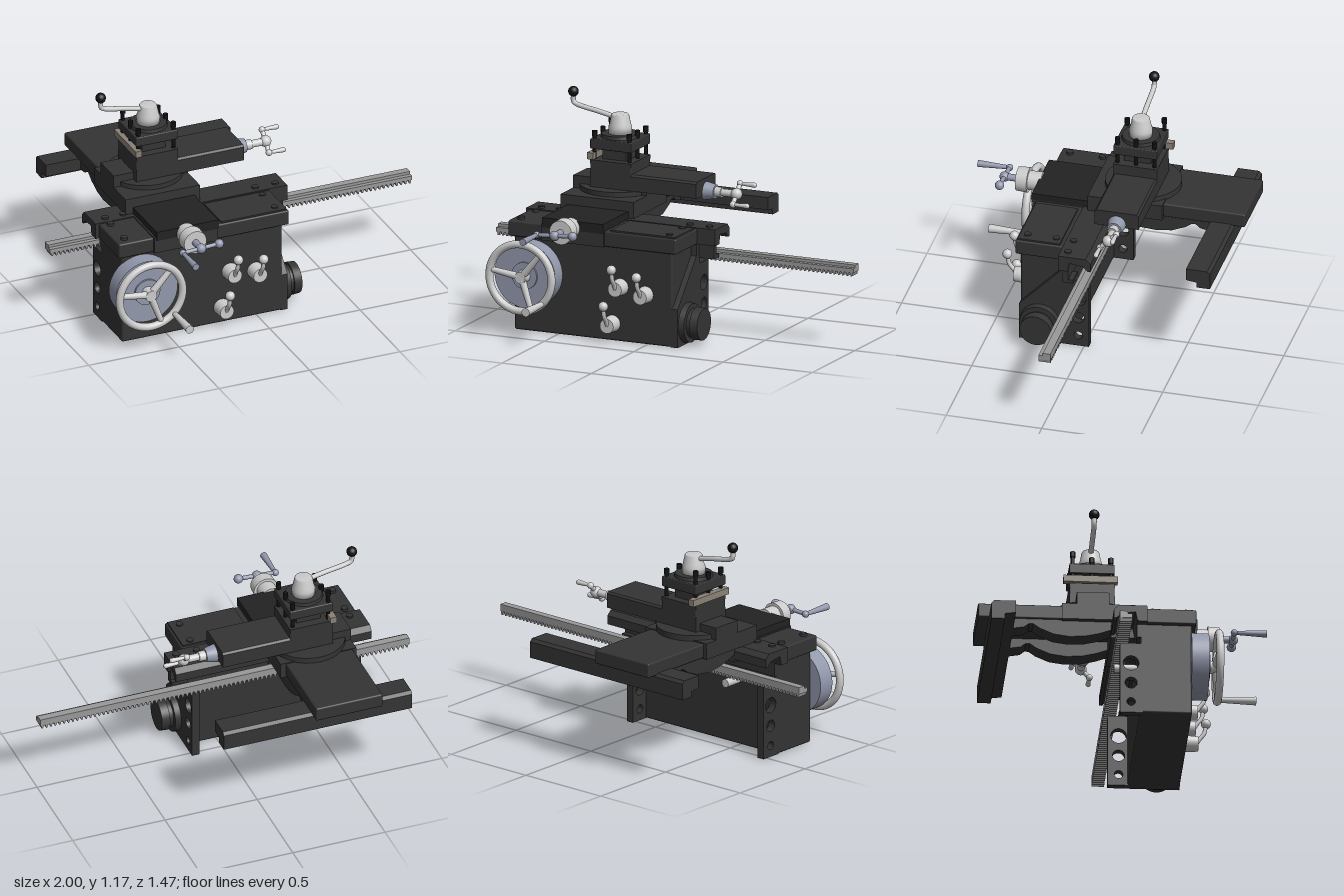
import * as THREE from 'three';
import { RoundedBoxGeometry } from 'three/addons/geometries/RoundedBoxGeometry.js';

const mat = (color) => new THREE.MeshStandardMaterial({ color });

export function createModel() {
  const model = new THREE.Group();
  const dark = mat(0x343434), black = mat(0x111111), cover = mat(0x222222);
  const light = mat(0xcccccc), blue = mat(0x9298ac), rackGrey = mat(0x999999), beige = mat(0x8a8278);

  const add = (name, geometry, material) => {
    const mesh = new THREE.Mesh(geometry, material);
    mesh.name = name;
    model.add(mesh);
    return mesh;
  };
  // Box given by its extents, with optional rounding
  const box = (name, x0, x1, y0, y1, z0, z1, material = dark, r = 0) => {
    const s = [x1 - x0, y1 - y0, z1 - z0];
    const m = add(name, r ? new RoundedBoxGeometry(...s, 2, r) : new THREE.BoxGeometry(...s), material);
    m.position.set((x0 + x1) / 2, (y0 + y1) / 2, (z0 + z1) / 2);
    return m;
  };
  // Round bar from point a to point b, radius ra to rb
  const rod = (name, a, b, ra, rb = ra, material = light, sides = 28) => {
    const p = new THREE.Vector3(...a), q = new THREE.Vector3(...b), d = q.clone().sub(p);
    const m = add(name, new THREE.CylinderGeometry(rb, ra, d.length(), sides), material);
    m.position.copy(p).add(q).multiplyScalar(0.5);
    m.quaternion.setFromUnitVectors(new THREE.Vector3(0, 1, 0), d.normalize());
    return m;
  };
  const ball = (name, p, r, material = light) =>
    add(name, new THREE.SphereGeometry(r, 20, 14), material).position.set(...p);
  const tube = (name, pts, r, material = light) =>
    add(name, new THREE.TubeGeometry(new THREE.CatmullRomCurve3(pts.map(p => new THREE.Vector3(...p))), 20, r, 12), material);
  // Side profile of [z, y] points extruded along x
  const profile = (name, pts, x0, x1, material = dark, holes = []) => {
    const shape = new THREE.Shape(pts.map(p => new THREE.Vector2(...p)));
    for (const [z, y, r] of holes) shape.holes.push(new THREE.Path().absarc(z, y, r, 0, Math.PI * 2, true));
    const m = add(name, new THREE.ExtrudeGeometry(shape, { depth: x1 - x0, bevelEnabled: false, curveSegments: 16 }), material);
    m.rotation.y = -Math.PI / 2;
    m.position.x = x1;
    return m;
  };

  // Apron: gearbox with drilled flanges at both ends
  box('apronBody', -0.745, 0.14, 0, 0.5, 0.075, 0.34, dark, 0.012);
  const holes = [[0.03, 0.275, 0.04], [0.03, 0.165, 0.031], [0.03, 0.06, 0.022]];
  profile('apronEndPlate', [[0.34, 0], [0.34, 0.2], [0.12, 0.43], [0.075, 0.43], [0.075, 0.385], [-0.025, 0.385], [-0.025, 0]],
    0.13, 0.17, dark, holes);
  profile('apronFlange', [[0.09, 0], [0.09, 0.385], [-0.025, 0.385], [-0.025, 0]], -0.745, -0.705, dark, holes);
  box('apronRearTop', -0.745, 0.17, 0.42, 0.5, 0.06, 0.12);
  rod('endKnobBase', [0.165, 0.11, 0.23], [0.2, 0.11, 0.23], 0.105, 0.1, dark, 40);
  rod('endKnobNeck', [0.2, 0.11, 0.23], [0.225, 0.11, 0.23], 0.075, 0.075, dark, 40);
  rod('endKnob', [0.222, 0.11, 0.23], [0.265, 0.11, 0.23], 0.085, 0.082, dark, 40);
  rod('pinionShaft', [-0.5, 0.355, 0.08], [-0.5, 0.355, -0.04], 0.022);

  // Rack with teeth underneath
  box('rackUpper', -1, 1, 0.42, 0.445, -0.045, -0.005, rackGrey);
  box('rackLower', -1, 1, 0.408, 0.43, -0.045, 0.018, rackGrey);
  const teeth = new THREE.Shape();
  teeth.moveTo(-1, 0.41);
  const n = 84, pitch = 2 / n;
  for (let i = 0; i < n; i++) {
    const x = -1 + i * pitch;
    for (const [f, y] of [[0.2, 0.409], [0.4, 0.39], [0.65, 0.39], [0.85, 0.409]]) teeth.lineTo(x + f * pitch, y);
  }
  teeth.lineTo(1, 0.41);
  add('rackTeeth', new THREE.ExtrudeGeometry(teeth, { depth: 0.063, bevelEnabled: false }), rackGrey).position.z = -0.045;

  // Saddle
  box('saddleLeftDeck', -0.77, -0.575, 0.49, 0.57, 0.1, 0.36, dark, 0.008);
  box('saddleRightDeck', -0.235, 0.17, 0.49, 0.57, 0.1, 0.36, dark, 0.008);
  box('saddleCover', -0.2, 0.16, 0.565, 0.578, 0.13, 0.35);
  const wing = [[0.11, 0.575], [-0.035, 0.575], [-0.06, 0.55], [-0.06, 0.505], [-0.045, 0.505], [-0.02, 0.53], [0.05, 0.54], [0.06, 0.49], [0.11, 0.49]];
  profile('saddleWing', wing, -0.79, 0.27);
  profile('wayClamp', [[0.09, 0.5], [0.09, 0.415], [0.035, 0.415], [0.035, 0.435], [0.06, 0.435], [0.06, 0.5]], 0.17, 0.255);
  box('saddleCentre', -0.58, -0.23, 0.49, 0.575, -0.06, 0.375);
  profile('slideWay', [[0.38, 0.56], [0.38, 0.61], [0.06, 0.61], [0.06, 0.56]], -0.57, -0.23, cover);
  for (const [x, z] of [[-0.72, 0.14], [-0.72, 0.31], [-0.62, 0.07], [-0.72, 0.07], [0.11, 0.16], [0.11, 0.31], [0.11, 0.07], [0.22, 0.07]])
    rod('saddleBolt', [x, 0.565, z], [x, 0.584, z], 0.018, 0.018, dark, 16);

  // Curved bridge arms reaching over the bed
  const arm = [[0.06, 0.6], [0.06, 0.54], [-0.05, 0.535], [-0.12, 0.51], [-0.19, 0.494], [-0.27, 0.489], [-0.35, 0.5],
    [-0.42, 0.53], [-0.455, 0.555], [-0.475, 0.555], [-0.5, 0.535], [-0.56, 0.525], [-0.6, 0.525], [-0.6, 0.6]];
  profile('bridgeArm', arm, -0.58, -0.48);
  profile('bridgeArm', arm, -0.34, -0.24);
  profile('rearBar', [[-0.555, 0.525], [-0.61, 0.518], [-0.61, 0.49], [-0.68, 0.49], [-0.68, 0.575], [-0.665, 0.59], [-0.555, 0.59]], -0.77, 0.25);

  // Cross slide
  box('crossSlide', -0.59, -0.23, 0.58, 0.655, -0.735, 0.08, dark, 0.008);
  box('crossSlideFront', -0.61, -0.2, 0.575, 0.66, -0.31, 0.08);
  rod('swivelBase', [-0.4, 0.65, -0.16], [-0.4, 0.685, -0.16], 0.195, 0.195, dark, 48);
  box('compoundBase', -0.61, -0.2, 0.66, 0.725, -0.235, -0.07);

  // Compound slide: an inverted channel around its feed screw
  profile('compoundSlide', [[-0.035, 0.685], [-0.035, 0.76], [-0.045, 0.77], [-0.255, 0.77], [-0.265, 0.76], [-0.265, 0.685],
    [-0.22, 0.685], [-0.235, 0.73], [-0.07, 0.73], [-0.085, 0.685]], -0.5, 0.095);
  box('compoundEndPlate', 0.07, 0.095, 0.685, 0.76, -0.25, -0.05);
  box('compoundBlock', -0.5, -0.27, 0.72, 0.812, -0.265, -0.035, dark, 0.006);
  const cy = 0.702, cz = -0.152;
  rod('compoundScrew', [-0.3, cy, cz], [0.1, cy, cz], 0.014);
  rod('compoundDial', [0.09, cy, cz], [0.15, cy, cz], 0.048, 0.036, blue);
  rod('compoundCollar', [0.15, cy, cz], [0.185, cy, cz], 0.026);
  rod('compoundShaft', [0.18, cy, cz], [0.26, cy, cz], 0.019);
  ball('compoundHub', [0.265, cy, cz], 0.03);
  for (const s of [-1, 1]) {
    const y = cy + s * 0.045, z = cz - s * 0.043;
    rod('compoundArm', [0.265, cy, cz], [0.265, y, z], 0.012);
    ball('compoundArmEnd', [0.265, y, z], 0.017);
    rod('compoundGrip', [0.265, y, z], [0.345, y, z], 0.008, 0.013);
    ball('compoundGripEnd', [0.345, y, z], 0.013);
  }

  // Tool post with clamping screws, tool and lever
  const tx = -0.385, tz = -0.15;
  box('toolPostCore', tx - 0.065, tx + 0.065, 0.8, 0.89, tz - 0.07, tz + 0.07);
  box('toolPostBase', tx - 0.115, tx + 0.115, 0.805, 0.825, tz - 0.115, tz + 0.115);
  box('toolPostTop', tx - 0.115, tx + 0.115, 0.882, 0.935, tz - 0.115, tz + 0.115, dark, 0.005);
  rod('toolPostDisc', [tx, 0.93, tz], [tx, 0.952, tz], 0.1, 0.095, dark, 36);
  box('tool', -0.51, -0.475, 0.83, 0.865, -0.295, -0.02, beige);
  for (const sx of [-1, 1]) for (const sz of [-1, 0, 1]) {
    const tall = sx < 0 && sz < 0 ? 0.03 : 0;
    const x = tx + sx * 0.097, z = tz + sz * 0.097;
    rod('clampScrew', [x, 0.83, z], [x, 0.955 + tall, z], 0.01, 0.01, black, 12);
    rod('clampScrewHead', [x, 0.945 + tall, z], [x, 0.975 + tall, z], 0.014, 0.014, black, 8);
  }
  const hub = [[0, 0.945], [0.06, 0.945], [0.06, 0.985], [0.054, 1.0], [0.045, 1.046], [0.04, 1.052], [0, 1.052]];
  add('leverHub', new THREE.LatheGeometry(hub.map(p => new THREE.Vector2(...p)), 36), light).position.set(tx, 0, tz);
  tube('leverArm', [[tx, 1.025, tz], [-0.5, 1.05, tz], [-0.62, 1.073, tz], [-0.645, 1.085, tz], [-0.647, 1.13, tz]], 0.013);
  ball('leverKnob', [-0.647, 1.14, tz], 0.027, black);

  // Cross feed crank
  const fx = -0.41, fy = 0.575;
  rod('crossFeedBearing', [fx, fy, 0.37], [fx, fy, 0.445], 0.05);
  rod('crossFeedDial', [fx, fy, 0.44], [fx, fy, 0.5], 0.065, 0.062, light, 36);
  rod('crossFeedShaft', [fx, fy, 0.5], [fx, fy, 0.57], 0.018, 0.018, blue);
  ball('crankHub', [fx, fy, 0.57], 0.026, blue);
  rod('crankArm', [-0.51, 0.57, 0.57], [-0.31, 0.582, 0.57], 0.011, 0.011, blue);
  ball('crankBall', [-0.31, 0.582, 0.57], 0.024, blue);
  ball('crankElbow', [-0.51, 0.57, 0.57], 0.018, blue);
  rod('crankGrip', [-0.51, 0.57, 0.575], [-0.51, 0.568, 0.735], 0.01, 0.018, blue);

  // Handwheel and its dial
  const wx = -0.645, wy = 0.31;
  rod('wheelDial', [wx, wy, 0.335], [wx, wy, 0.425], 0.17, 0.17, blue, 48);
  rod('wheelDialStep', [wx, wy, 0.42], [wx, wy, 0.435], 0.07, 0.07, blue, 36);
  rod('wheelShaft', [wx, wy, 0.42], [wx, wy, 0.485], 0.035, 0.03);
  add('wheelRim', new THREE.TorusGeometry(0.174, 0.02, 14, 56), light).position.set(wx, wy, 0.478);
  for (const deg of [50, 170, 290]) {
    const a = deg * Math.PI / 180;
    rod('wheelSpoke', [wx, wy, 0.465], [wx + 0.17 * Math.cos(a), wy + 0.17 * Math.sin(a), 0.478], 0.02, 0.014);
  }
  rod('wheelGrip', [-0.52, 0.188, 0.47], [-0.52, 0.188, 0.68], 0.013, 0.022);

  // Feed selector levers
  for (const [x, y] of [[-0.15, 0.285], [-0.01, 0.26], [-0.195, 0.09]]) {
    rod('selectorBoss', [x, y, 0.335], [x, y, 0.41], 0.044, 0.038);
    tube('selectorArm', [[x, y, 0.4], [x, y + 0.025, 0.415], [x, y + 0.06, 0.44], [x, y + 0.11, 0.448]], 0.011);
    ball('selectorKnob', [x, y + 0.112, 0.449], 0.025);
  }
  return model;
}
